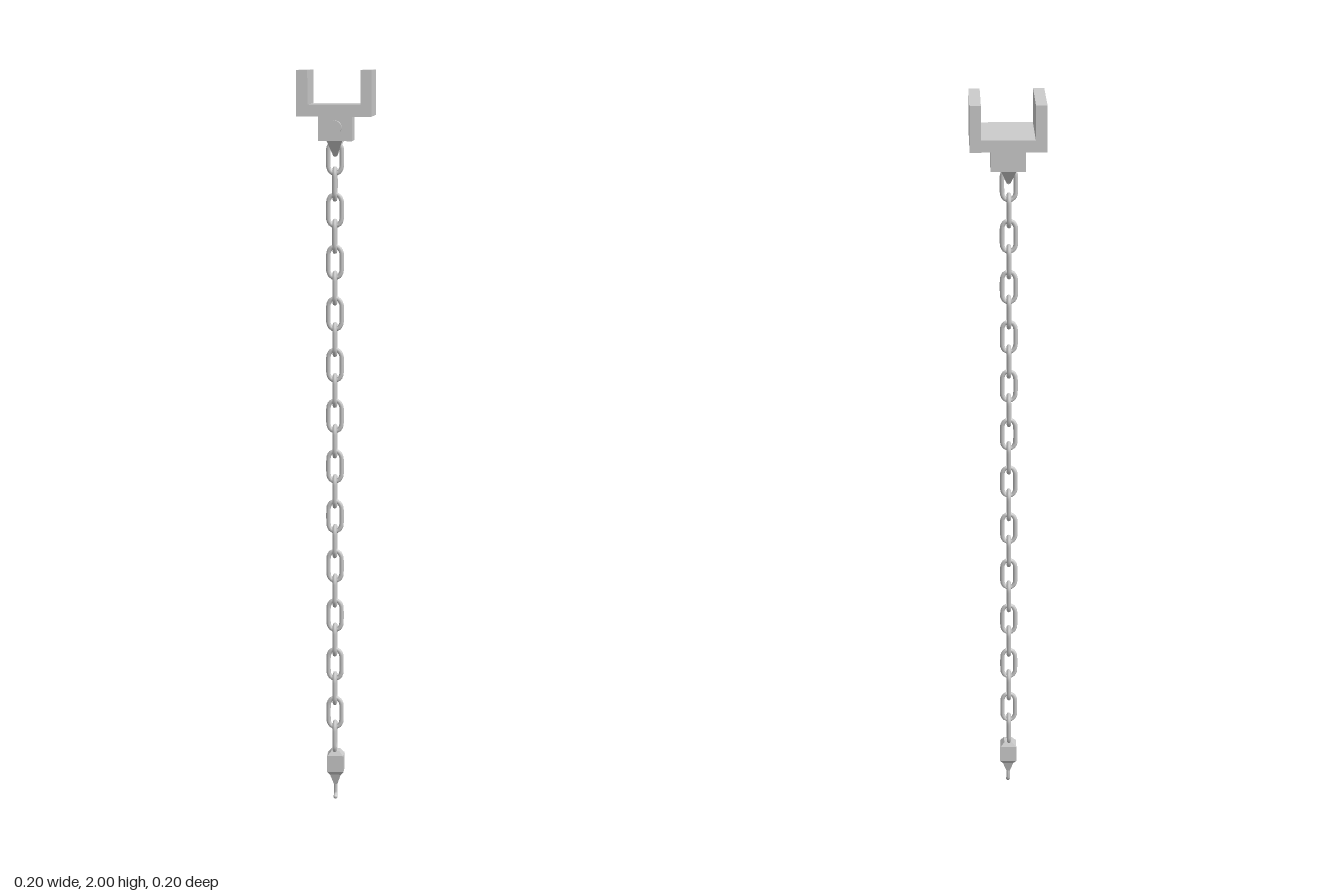
import * as THREE from 'three';

const grey = new THREE.MeshStandardMaterial({ color: 0xcccccc, flatShading: true });
const smooth = new THREE.MeshStandardMaterial({ color: 0xcccccc });

function add(parent, name, geometry, x = 0, y = 0, z = 0, material = grey) {
  const mesh = new THREE.Mesh(geometry, material);
  mesh.name = name;
  mesh.position.set(x, y, z);
  parent.add(mesh);
  return mesh;
}

// Four-sided prism that tapers from a top rectangle to a bottom rectangle
function taperedBox(topW, topD, bottomW, bottomD, height, shiftX = 0, shiftZ = 0) {
  const geometry = new THREE.BoxGeometry(1, height, 1);
  const p = geometry.attributes.position;
  for (let i = 0; i < p.count; i++) {
    const top = p.getY(i) > 0;
    p.setX(i, p.getX(i) * (top ? topW : bottomW) + (top ? 0 : shiftX));
    p.setZ(i, p.getZ(i) * (top ? topD : bottomD) + (top ? 0 : shiftZ));
  }
  geometry.computeVertexNormals();
  return geometry;
}

// Chain link: a tube along a rectangle with chamfered corners
function linkGeometry(height, width, radius) {
  const h = height / 2 - radius, w = width / 2 - radius;
  const corners = [[w, h - 0.015], [w * 0.5, h], [-w * 0.5, h], [-w, h - 0.015],
    [-w, 0.015 - h], [-w * 0.5, -h], [w * 0.5, -h], [w, 0.015 - h]];
  const path = new THREE.CatmullRomCurve3(
    corners.map(([x, y]) => new THREE.Vector3(x, y, 0)), true, 'catmullrom', 0.25);
  return new THREE.TubeGeometry(path, 32, radius, 8, true);
}

export function createModel() {
  const model = new THREE.Group();
  model.name = 'hangingPullChain';

  // U-shaped ceiling bracket
  const u = new THREE.Shape([[-0.098, 1.88], [0.098, 1.88], [0.098, 2], [0.069, 2],
    [0.069, 1.911], [-0.069, 1.911], [-0.069, 2], [-0.098, 2]]
    .map(([x, y]) => new THREE.Vector2(x, y)));
  add(model, 'bracket',
    new THREE.ExtrudeGeometry(u, { depth: 0.196, bevelEnabled: false }).translate(0, 0, -0.098));

  // Mounting block with a round button on the front
  add(model, 'mountBlock', new THREE.BoxGeometry(0.09, 0.066, 0.09), -0.001, 1.848, 0.002);
  const button = new THREE.CylinderGeometry(0.018, 0.018, 0.018, 20).rotateX(Math.PI / 2);
  add(model, 'button', button, -0.001, 1.851, 0.054);

  // V-shaped hanger, two tapering arms meeting in the top link
  const hanger = new THREE.Group();
  hanger.name = 'hanger';
  model.add(hanger);
  for (const s of [-1, 1]) {
    add(hanger, 'hangerArm', taperedBox(0.042, 0.016, 0.01, 0.01, 0.042, 0, -s * 0.028),
      -0.003, 1.796, 0.004 + s * 0.031);
  }
  add(hanger, 'hangerTip', new THREE.CylinderGeometry(0.006, 0.006, 0.014, 10).rotateX(Math.PI / 2),
    -0.003, 1.778, 0.004);

  // Chain of alternating links
  const chain = new THREE.Group();
  chain.name = 'chain';
  model.add(chain);
  const link = linkGeometry(0.092, 0.047, 0.006);
  for (let i = 0; i < 24; i++) {
    const mesh = add(chain, 'chainLink', link, -0.004, 1.77 - i * 0.0693, 0.004, smooth);
    if (i % 2) mesh.rotation.y = Math.PI / 2;
  }

  // Weight at the end of the chain
  const weight = new THREE.Group();
  weight.name = 'endWeight';
  weight.position.set(-0.002, 0, 0.004);
  model.add(weight);
  add(weight, 'weightCap', taperedBox(0.022, 0.03, 0.044, 0.042, 0.013), 0, 0.132, 0);
  add(weight, 'weightBlock', new THREE.BoxGeometry(0.046, 0.046, 0.042), 0, 0.103, 0);
  add(weight, 'weightShoulder', taperedBox(0.046, 0.042, 0.03, 0.028, 0.01), 0, 0.075, 0);
  add(weight, 'weightTaper', taperedBox(0.03, 0.028, 0.009, 0.012, 0.03), 0, 0.055, 0);

  // Slim tip that curls towards the front
  const curl = new THREE.CatmullRomCurve3([[0.045, 0], [0.025, 0], [0.012, 0.002], [0.006, 0.011]]
    .map(([y, z]) => new THREE.Vector3(0, y, z)));
  add(weight, 'tip', new THREE.TubeGeometry(curl, 12, 0.005, 8), 0, 0, 0, smooth);
  add(weight, 'tipEnd', new THREE.SphereGeometry(0.006, 10, 8), 0, 0.006, 0.011, smooth);

  return model;
}
